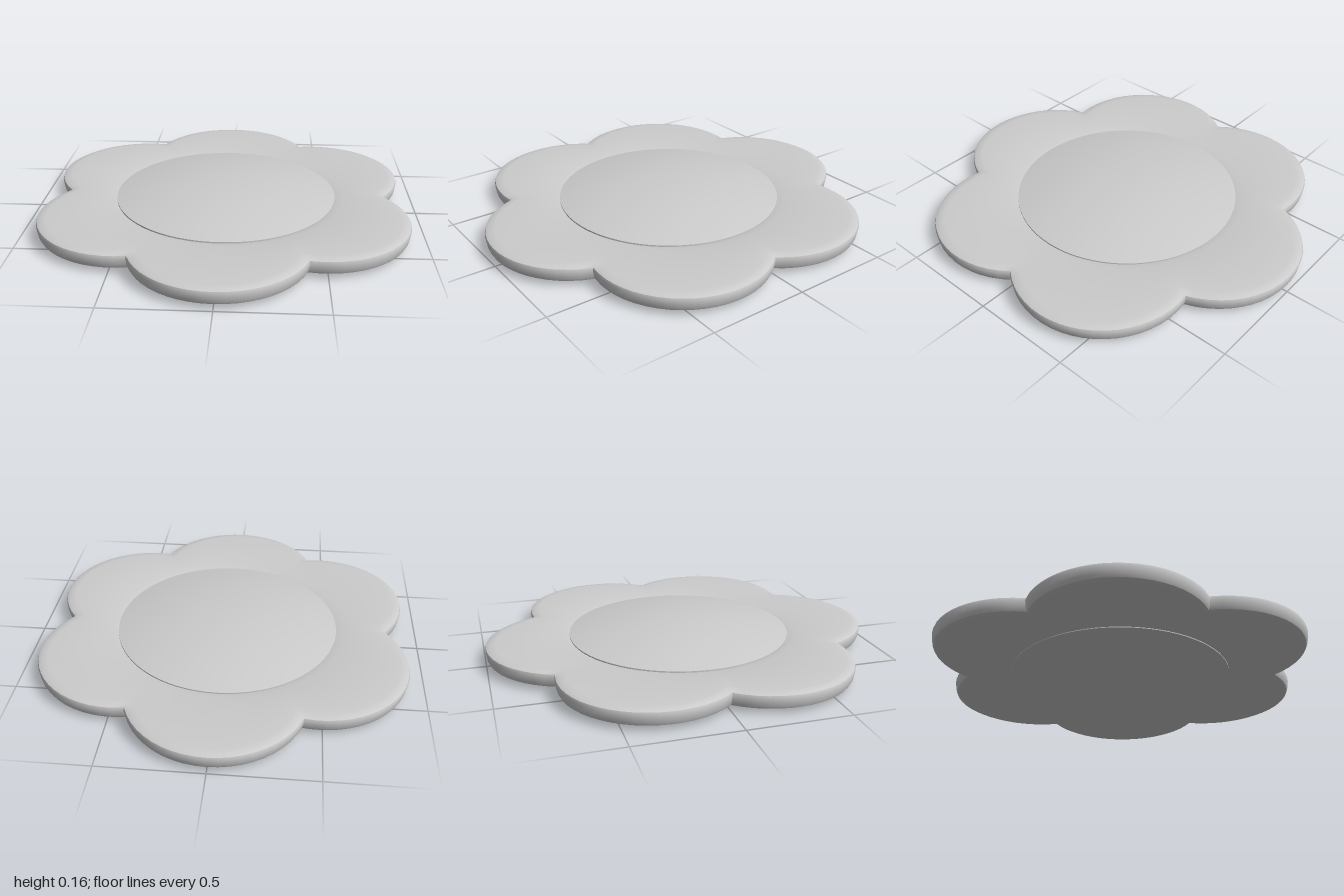
import * as THREE from 'three';
import { toCreasedNormals } from 'three/addons/utils/BufferGeometryUtils.js';

const PETALS = 6;
const STEPS = 20;          // segments per petal
const CENTRE = 0.558;      // distance of each petal circle from the middle
const RADIUS = 0.442;      // petal circle radius
const DISC = 0.57;         // radius of the domed middle

// Distance from the middle to the petal outline, drawn in by an inset
function outline(phi, inset) {
  const r = RADIUS - inset;
  return CENTRE * Math.cos(phi) + Math.sqrt(r * r - (CENTRE * Math.sin(phi)) ** 2);
}

// Scalloped plate: loops of points from the inner top edge, over the rim, to the inner bottom edge
function petalGeometry() {
  // circle: radius of a round loop; inset: loop following the petals
  const loops = [
    { circle: 0.55, y: 0.088 },
    { circle: 0.575, y: 0.092 },
    { circle: 0.61, y: 0.1 },
    { inset: 0.05, y: 0.102 },
    { inset: 0.018, y: 0.099 },
    { inset: 0.004, y: 0.092 },
    { inset: 0, y: 0.08 },
    { inset: 0.006, y: 0.042 },
    { inset: 0.013, y: 0.028 },
    { inset: 0.03, y: 0.02 },
    { inset: 0.06, y: 0.017 },
    { circle: 0.6, y: 0.017 },
    { circle: 0.55, y: 0.022 },
  ];
  const around = PETALS * STEPS;
  const positions = [];
  const index = [];
  loops.forEach(({ circle, inset, y }, k) => {
    for (let i = 0; i < around; i++) {
      const phi = ((i % STEPS) / STEPS - 0.5) * (2 * Math.PI / PETALS);
      const angle = (i / around) * Math.PI * 2 - Math.PI / PETALS;
      const r = circle ?? outline(phi, inset);
      positions.push(r * Math.sin(angle), y, r * Math.cos(angle));
      if (k === loops.length - 1) continue;
      const next = (i + 1) % around;
      const a = k * around + i, b = a + around;
      const c = k * around + next, d = c + around;
      index.push(a, b, c, b, d, c);
    }
  });
  const geometry = new THREE.BufferGeometry();
  geometry.setAttribute('position', new THREE.Float32BufferAttribute(positions, 3));
  geometry.setIndex(index);
  return toCreasedNormals(geometry, 0.6);
}

// Lens-shaped middle: shallow dome below, taller dome above
function discGeometry() {
  const points = [];
  const n = 14;
  for (let i = 0; i <= n; i++) {
    const t = i / n;
    points.push(new THREE.Vector2(DISC * t, 0.016 * t * t));
  }
  for (let i = n; i >= 0; i--) {
    const t = i / n;
    points.push(new THREE.Vector2(DISC * t, 0.16 - 0.062 * t * t));
  }
  return toCreasedNormals(new THREE.LatheGeometry(points, 72), 0.6);
}

export function createModel() {
  const group = new THREE.Group();
  group.name = 'flowerPlaque';
  const grey = new THREE.MeshStandardMaterial({ color: 0xcccccc });
  grey.name = 'light grey';

  const petals = new THREE.Mesh(petalGeometry(), grey);
  petals.name = 'petals';

  const disc = new THREE.Mesh(discGeometry(), grey);
  disc.name = 'domedCentre';
  disc.position.z = -0.003;

  group.add(petals, disc);
  return group;
}
